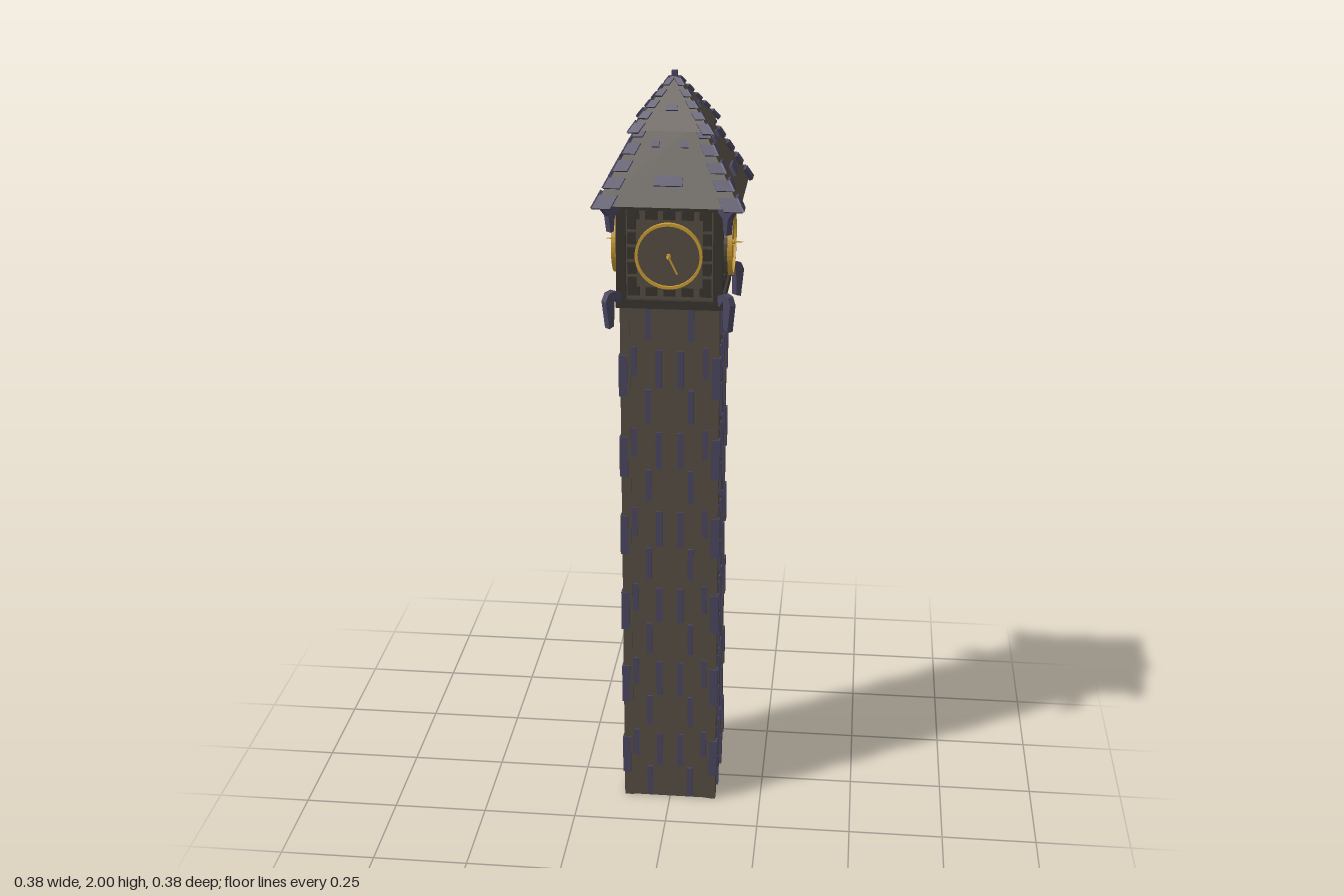
import * as THREE from 'three';

const mat = (color) => new THREE.MeshStandardMaterial({ color, flatShading: true });
const STONE = mat(0x544c42), BRICK = mat(0x4a4560), DARK = mat(0x38342f), GOLD = mat(0xc79a32);

function add(parent, name, geometry, material, x = 0, y = 0, z = 0) {
  const mesh = new THREE.Mesh(geometry, material);
  mesh.name = name;
  mesh.position.set(x, y, z);
  parent.add(mesh);
  return mesh;
}
const box = (parent, name, m, w, h, d, x, y, z) =>
  add(parent, name, new THREE.BoxGeometry(w, h, d), m, x, y, z);

function group(parent, name) {
  const g = new THREE.Group();
  g.name = name;
  parent.add(g);
  return g;
}

// Repeats a part on all four sides of the tower
function fourSides(parent, name, build) {
  for (let k = 0; k < 4; k++) {
    const side = group(parent, name);
    side.rotation.y = k * Math.PI / 2;
    build(side);
  }
}

// Four-sided pyramid or frustum from half widths
function pyramid(parent, name, a, b, y0, y1) {
  const g = new THREE.CylinderGeometry(b * Math.SQRT2, a * Math.SQRT2, y1 - y0, 4);
  g.rotateY(Math.PI / 4);
  add(parent, name, g, STONE, 0, (y0 + y1) / 2, 0);
}

function slab(parent, name, points, depth) {
  const shape = new THREE.Shape(points.map(([u, v]) => new THREE.Vector2(u, v)));
  const g = new THREE.ExtrudeGeometry(shape, { depth, bevelEnabled: false });
  add(parent, name, g, BRICK, 0, 0, -0.001);
}

// Roof with stepped ridge tiles and a few loose tiles on every slope
function roof(parent, name, { a, b, y0, y1, rows, width, depth, tiles }) {
  const r = group(parent, name);
  pyramid(r, name + 'Slopes', a, b, y0, y1);
  const length = Math.hypot(a - b, y1 - y0), run = (a - b) / length;
  fourSides(r, name + 'Tiles', (side) => {
    const slope = group(side, name + 'Slope');
    slope.position.set(0, y0, a);
    slope.rotation.x = -Math.atan2(a - b, y1 - y0);
    const pitch = length / rows;
    for (let i = 0; i < rows; i++) {
      const v0 = i * pitch - (i ? 0 : 0.008), v1 = (i + 0.62) * pitch;
      const u0 = a - v0 * run + 0.003, u1 = a - v1 * run + 0.003;
      const w = Math.min(width * (1 - 0.55 * i / rows), u1);
      for (const s of [-1, 1])
        slab(slope, 'ridgeTile', [[s * u0, v0], [s * u1, v1], [s * (u1 - w), v1], [s * (u0 - w), v0]], depth);
    }
    for (const [u, v, w, h] of tiles)
      slab(slope, 'roofTile', [[u - w / 2, v], [u + w / 2, v], [u + w * 0.45, v + h], [u - w * 0.45, v + h]], depth);
  });
}

// Hooked corner bracket, drawn in the diagonal plane
function cornerBracket(parent, name, points, y) {
  for (let k = 0; k < 4; k++) {
    const g = new THREE.ExtrudeGeometry(
      new THREE.Shape(points.map(([u, v]) => new THREE.Vector2(u, v))), { depth: 0.018, bevelEnabled: false });
    g.translate(0, 0, -0.009);
    add(parent, name, g, BRICK, 0, y, 0).rotation.y = Math.PI / 4 + k * Math.PI / 2;
  }
}

export function createModel() {
  const model = new THREE.Group();
  model.name = 'clockTower';

  // Shaft with corner piers and staggered bricks
  box(model, 'shaft', STONE, 0.246, 1.44, 0.246, 0, 0.72, 0);
  fourSides(model, 'shaftSide', (side) => {
    box(side, 'cornerPier', STONE, 0.025, 1.43, 0.025, 0.1135, 0.715, 0.1135);
    for (let i = 0; i < 7; i++) {
      const y = 0.05 + i * 0.223;
      for (const s of [-1, 1]) {
        box(side, 'shaftBrick', BRICK, 0.014, 0.09, 0.012, s * 0.055, y, 0.123);
        if (i < 6) {
          box(side, 'innerBrick', BRICK, 0.016, 0.1, 0.01, s * 0.028, y + 0.1, 0.122);
          box(side, 'outerBrick', BRICK, 0.014, 0.08, 0.01, s * 0.092, y + 0.12, 0.122);
        }
      }
      if (i < 6) box(side, 'cornerBrick', BRICK, 0.022, 0.11, 0.022, 0.119, y + 0.08, 0.119);
    }
  });

  // Clock chamber
  box(model, 'ledge', DARK, 0.27, 0.022, 0.27, 0, 1.44, 0);
  box(model, 'clockChamber', STONE, 0.244, 0.26, 0.244, 0, 1.57, 0);
  box(model, 'upperLedge', DARK, 0.264, 0.02, 0.264, 0, 1.69, 0);
  fourSides(model, 'clockSide', (side) => {
    box(side, 'cornerPost', DARK, 0.024, 0.25, 0.024, 0.121, 1.57, 0.121);
    // Brick frame around the dial
    for (let i = 0; i < 5; i++) {
      const p = -0.09 + i * 0.045;
      for (const s of [-1, 1]) {
        box(side, 'frameBrick', DARK, 0.03, 0.022, 0.012, p, 1.57 + s * 0.098, 0.124);
        box(side, 'frameBrick', DARK, 0.022, 0.03, 0.012, s * 0.094, 1.57 + p * 0.85, 0.124);
      }
    }
    // Dial, rim and hands
    const dial = group(side, 'clock');
    dial.position.set(0, 1.57, 0);
    const disc = new THREE.CylinderGeometry(0.08, 0.08, 0.024, 32).rotateX(Math.PI / 2);
    add(dial, 'dial', disc, STONE, 0, 0, 0.132);
    const rim = new THREE.Shape().absarc(0, 0, 0.084, 0, Math.PI * 2);
    rim.holes.push(new THREE.Path().absarc(0, 0, 0.077, 0, Math.PI * 2, true));
    const rimGeo = new THREE.ExtrudeGeometry(rim, { depth: 0.012, bevelEnabled: false, curveSegments: 20 });
    add(dial, 'rim', rimGeo, GOLD, 0, 0, 0.14);
    const hub = new THREE.CylinderGeometry(0.006, 0.006, 0.01, 8).rotateX(Math.PI / 2);
    add(dial, 'hub', hub, GOLD, 0, 0, 0.148);
    const pin = new THREE.ConeGeometry(0.004, 0.036, 6).rotateX(Math.PI / 2);
    add(dial, 'centrePin', pin, GOLD, 0, 0, 0.162);
    const hand = box(dial, 'hand', GOLD, 0.004, 0.042, 0.004, 0.012, -0.027, 0.147);
    hand.rotation.z = 0.45;
  });

  // Corner hooks below the dials and struts below the eaves
  cornerBracket(model, 'cornerHook', [[0.165, 0], [0.185, 0], [0.2, 0.018], [0.203, -0.055], [0.218, -0.06],
    [0.228, 0.012], [0.218, 0.032], [0.2, 0.036], [0.165, 0.022]], 1.44);
  cornerBracket(model, 'eaveStrut', [[0.165, 0.04], [0.196, 0.018], [0.2, -0.02], [0.21, -0.022],
    [0.216, 0.02], [0.236, 0.045], [0.236, 0.055], [0.165, 0.055]], 1.65);

  // Two-tier roof and finial
  roof(model, 'lowerRoof', { a: 0.177, b: 0.07, y0: 1.7, y1: 1.89, rows: 5, width: 0.045, depth: 0.009,
    tiles: [[0, 0.053, 0.072, 0.026], [-0.035, 0.15, 0.02, 0.015], [0.035, 0.15, 0.02, 0.015]] });
  roof(model, 'upperRoof', { a: 0.097, b: 0.004, y0: 1.87, y1: 1.99, rows: 5, width: 0.026, depth: 0.007,
    tiles: [[0, 0.054, 0.03, 0.014]] });
  box(model, 'finial', BRICK, 0.014, 0.024, 0.014, 0, 1.988, 0);
  return model;
}
